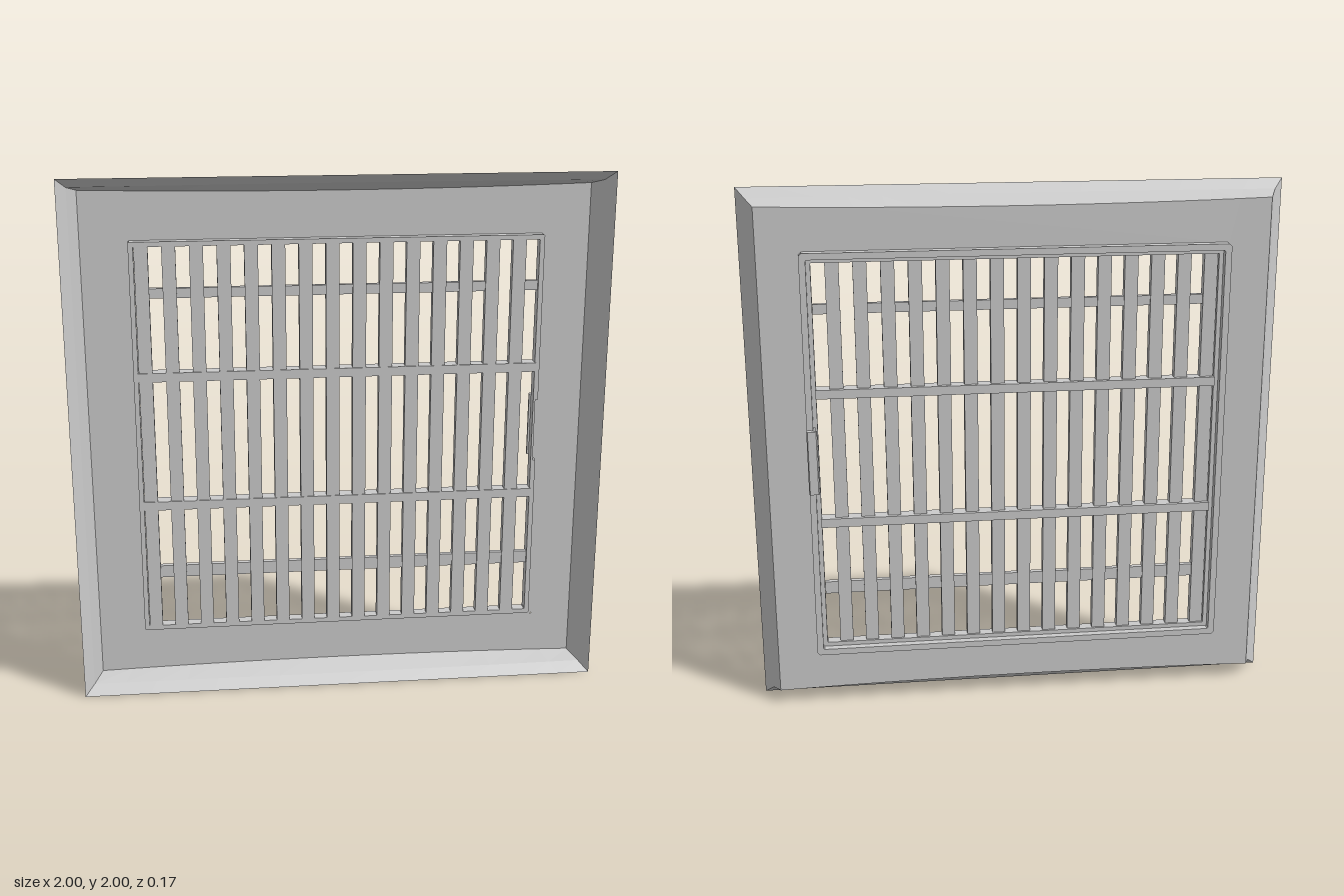
import * as THREE from 'three';

const grey = new THREE.MeshStandardMaterial({ color: 0xcccccc, flatShading: true, side: THREE.DoubleSide });
const CY = 1; // height of the centre
const BACK = -0.025; // depth of the flat panel
const LATCH = [0.885, 1.13]; // bottom and top of the latch notch

function add(parent, name, geometry) {
  const mesh = new THREE.Mesh(geometry, grey);
  mesh.name = name;
  parent.add(mesh);
  return mesh;
}

// box given by its limits
function box(parent, name, x0, x1, y0, y1, z0, z1) {
  const mesh = add(parent, name, new THREE.BoxGeometry(x1 - x0, y1 - y0, z1 - z0));
  mesh.position.set((x0 + x1) / 2, (y0 + y1) / 2, (z0 + z1) / 2);
}

// closed outline: straight sides, top and bottom edges bowing inwards
function outline(insetX, insetEnd, insetMid, n = 16) {
  const w = 1 - insetX;
  const bottom = [];
  for (let i = 0; i <= n; i++) {
    const t = (2 * i) / n - 1;
    bottom.push(new THREE.Vector2(w * t, insetMid + (insetEnd - insetMid) * t * t));
  }
  return [...bottom, ...bottom.map((p) => new THREE.Vector2(-p.x, 2 * CY - p.y))];
}

// sheet joining successive outlines
function skin(levels) {
  const n = levels[0].points.length;
  const positions = [];
  const index = [];
  levels.forEach(({ points, z }, k) => {
    points.forEach((p) => positions.push(p.x, p.y, z));
    if (k === 0) return;
    for (let i = 0; i < n; i++) {
      const j = (i + 1) % n;
      const a = (k - 1) * n + i, b = (k - 1) * n + j, c = k * n + j, d = k * n + i;
      index.push(a, b, c, a, c, d);
    }
  });
  const g = new THREE.BufferGeometry();
  g.setAttribute('position', new THREE.Float32BufferAttribute(positions, 3));
  g.setIndex(index);
  g.computeVertexNormals();
  return g;
}

// square outline with cut corners and, if wanted, a notch beside the latch
function square(w, cut, notchX = w) {
  const b = CY - w, t = CY + w;
  return [
    [-w + cut, b], [w - cut, b], [w, b + cut],
    [w, LATCH[0]], [notchX, LATCH[0]], [notchX, LATCH[1]], [w, LATCH[1]],
    [w, t - cut], [w - cut, t], [-w + cut, t], [-w, t - cut], [-w, b + cut],
  ].map(([x, y]) => new THREE.Vector2(x, y));
}

// ring between two outlines, running from z0 to z1
function ring(parent, name, outer, inner, z0, z1) {
  const shape = new THREE.Shape(outer);
  shape.holes.push(new THREE.Path(inner));
  const g = new THREE.ExtrudeGeometry(shape, { depth: z1 - z0, bevelEnabled: false });
  add(parent, name, g.translate(0, 0, z0));
}

export function createModel() {
  const model = new THREE.Group();
  model.name = 'ventGrille';

  // flared surround
  const backEdge = outline(0.065, 0.055, 0.068);
  add(model, 'flaredRim', skin([
    { points: outline(0, 0, 0), z: 0.083 },
    { points: outline(0.035, 0.035, 0.032), z: 0.045 },
    { points: backEdge, z: BACK },
  ]));

  // flat panel with a notched opening
  const panel = new THREE.Shape(backEdge);
  panel.holes.push(new THREE.Path(square(0.782, 0.006, 0.752)));
  add(model, 'panel', new THREE.ShapeGeometry(panel).translate(0, 0, BACK));

  // stepped frame: rib behind the panel, lip carrying the slats
  const grille = new THREE.Group();
  grille.name = 'grille';
  model.add(grille);
  ring(grille, 'frameRib', square(0.784, 0.01), square(0.76, 0.004), -0.062, -0.026);
  ring(grille, 'frameLip', square(0.762, 0.004, 0.752), square(0.744, 0.002), -0.034, 0.008);

  // vertical slats with small links in the gaps
  const pitch = 0.099, half = 0.025, count = 15;
  for (let i = 0; i < count; i++) {
    const x = -0.717 + i * pitch;
    box(grille, 'slat', x - half, x + half, 0.25, 1.75, -0.025, 0.008);
    const end = Math.min(x + pitch - half, 0.747);
    for (const [y, h] of [[0.48, 0.024], [1.572, 0.018]]) {
      if (y > 1 && i === count - 2) continue; // one link is absent
      box(grille, 'link', x + half, end, y - h, y + h, -0.018, 0.002);
    }
  }

  // cross bars, standing proud of the slats
  for (const y of [0.753, 1.258]) {
    box(grille, 'crossBar', -0.747, 0.747, y - 0.017, y + 0.017, -0.04, 0.012);
  }

  // latch: stem and hooked lip
  const latch = new THREE.Group();
  latch.name = 'latch';
  model.add(latch);
  box(latch, 'latchStem', 0.768, 0.785, ...LATCH, -0.075, BACK - 0.001);
  const lip = new THREE.Shape([
    [0.746, 0.068], [0.785, 0.062], [0.785, 0.079], [0.781, 0.083], [0.75, 0.083], [0.746, 0.079],
  ].map(([x, z]) => new THREE.Vector2(x, z)));
  const lipGeometry = new THREE.ExtrudeGeometry(lip, { depth: LATCH[1] - LATCH[0], bevelEnabled: false });
  add(latch, 'latchLip', lipGeometry.rotateX(-Math.PI / 2)).position.y = LATCH[0];

  return model;
}
